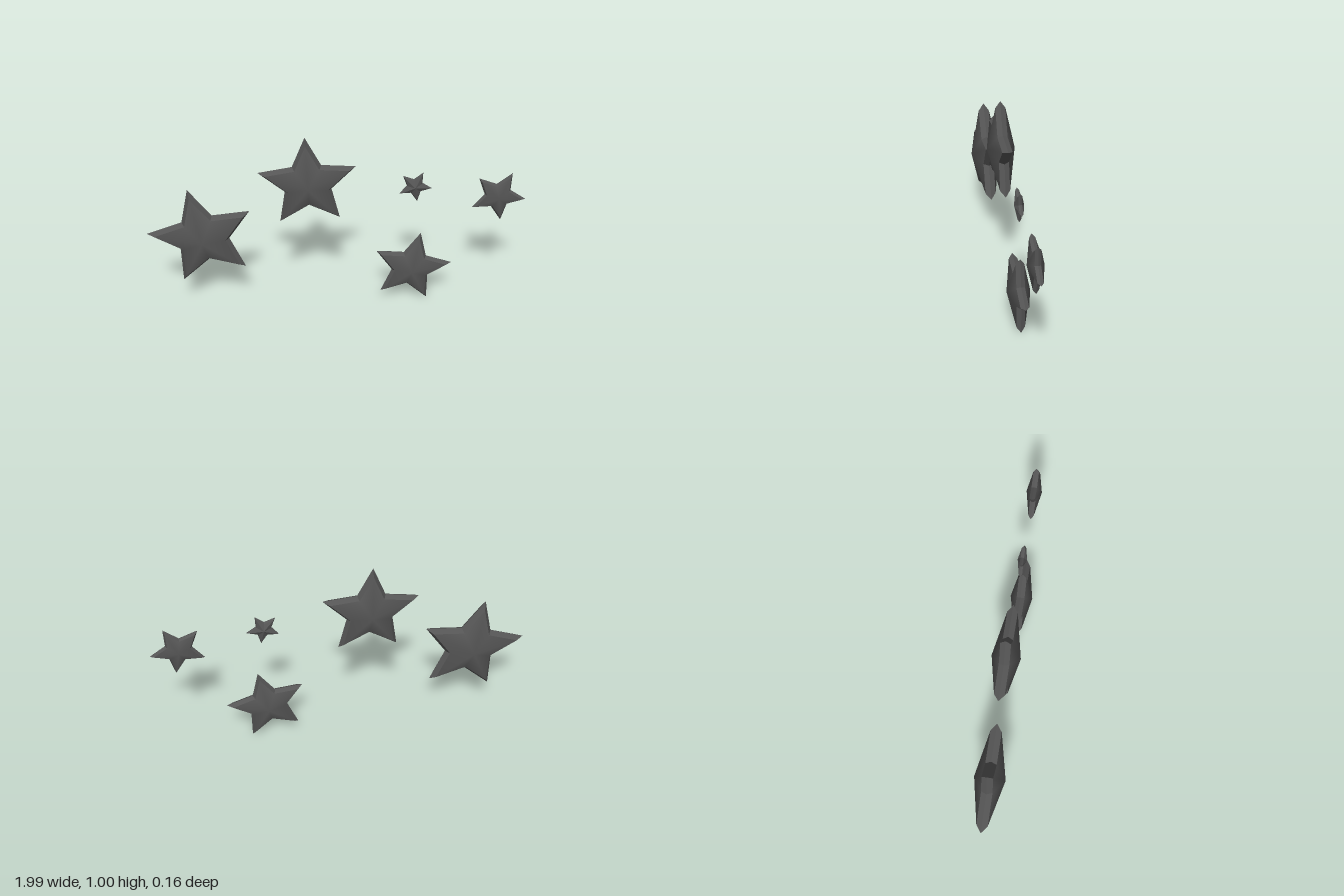
import * as THREE from 'three';

// Unit star proportions (tip radius = 1)
const NOTCH = 0.48, INSET = 0.86, BEVEL_Z = 0.1, PEAK_Z = 0.28;

// Ten outline points, alternating tip and notch, first tip pointing along +y
function starRing(scale, z) {
  const ring = [];
  for (let i = 0; i < 10; i++) {
    const a = Math.PI / 2 + (i * Math.PI) / 5;
    const r = scale * (i % 2 ? NOTCH : 1);
    ring.push([r * Math.cos(a), r * Math.sin(a), z]);
  }
  return ring;
}

function makeGeometry(points, index, flat) {
  let geo = new THREE.BufferGeometry();
  geo.setAttribute('position', new THREE.Float32BufferAttribute(points.flat(), 3));
  geo.setIndex(index);
  if (flat) geo = geo.toNonIndexed();
  geo.computeVertexNormals();
  return geo;
}

// Raised face: a fan from the inset outline up to the central peak
function faceGeometry(side, flat) {
  const points = [...starRing(INSET, side * BEVEL_Z), [0, 0, side * PEAK_Z]];
  const index = [];
  for (let i = 0; i < 10; i++) {
    const j = (i + 1) % 10;
    index.push(...(side > 0 ? [i, j, 10] : [j, i, 10]));
  }
  return makeGeometry(points, index, flat);
}

// Bevel: from the sharp outer outline at z = 0 to the inset outline
function bevelGeometry(side) {
  const points = [...starRing(1, 0), ...starRing(INSET, side * BEVEL_Z)];
  const index = [];
  for (let i = 0; i < 10; i++) {
    const j = (i + 1) % 10;
    if (side > 0) index.push(i, j, j + 10, i, j + 10, i + 10);
    else index.push(j, i, j + 10, j + 10, i, i + 10);
  }
  return makeGeometry(points, index, true);
}

// name, centre x, centre y, tip radius, direction of one tip in degrees, faceted
const STARS = [
  ['largeStar', -0.709, 0.444, 0.292, 102.8, false],
  ['upperStar', -0.152, 0.749, 0.266, 92.8, false],
  ['lowerStar', 0.401, 0.212, 0.219, 78, false],
  ['smallStar', 0.844, 0.645, 0.149, 62.6, false],
  ['tinyStar', 0.405, 0.715, 0.09, 63, true],
];

export function createModel() {
  const model = new THREE.Group();
  model.name = 'starCluster';
  const material = new THREE.MeshStandardMaterial({ color: 0x555555 });

  for (const [name, x, y, radius, degrees, faceted] of STARS) {
    const star = new THREE.Group();
    star.name = name;
    for (const side of [1, -1]) {
      const label = side > 0 ? 'front' : 'back';
      const face = new THREE.Mesh(faceGeometry(side, faceted), material);
      face.name = label + 'Face';
      const bevel = new THREE.Mesh(bevelGeometry(side), material);
      bevel.name = label + 'Bevel';
      star.add(face, bevel);
    }
    star.scale.setScalar(radius);
    star.rotation.z = THREE.MathUtils.degToRad(degrees - 90);
    star.position.set(x, y, 0);
    model.add(star);
  }
  return model;
}
